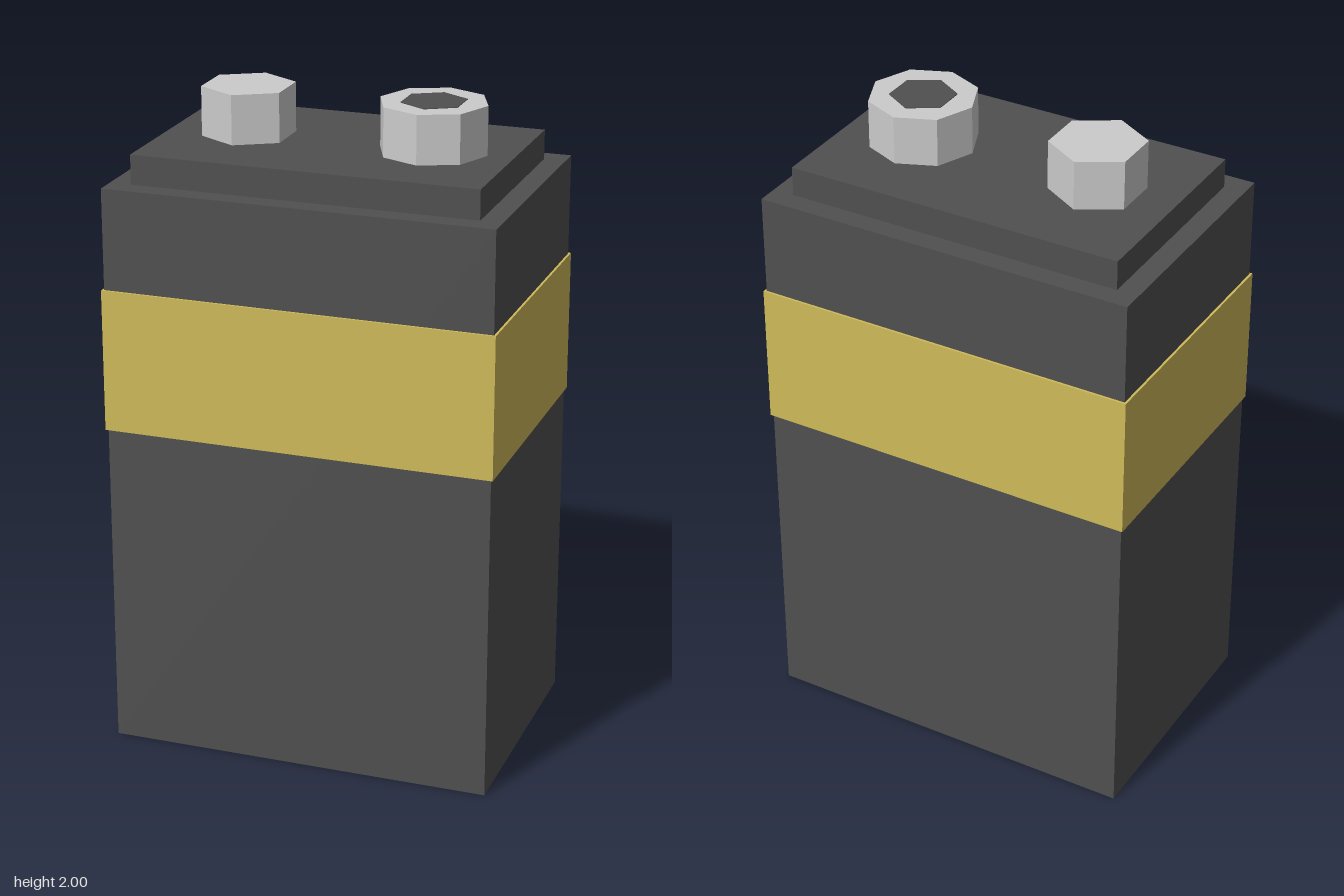
import * as THREE from 'three';

const material = (color) => new THREE.MeshStandardMaterial({ color, flatShading: true });

export function createModel() {
  const model = new THREE.Group();
  model.name = 'battery';
  const dark = material(0x505050);
  const gold = material(0xcfba59);
  const metal = material(0xcccccc);

  const add = (name, geometry, mat, x, bottom, height) => {
    const mesh = new THREE.Mesh(geometry, mat);
    mesh.name = name;
    mesh.position.set(x, bottom + height / 2, 0);
    model.add(mesh);
  };
  const block = (name, mat, width, depth, bottom, top) =>
    add(name, new THREE.BoxGeometry(width, top - bottom, depth), mat, 0, bottom, top - bottom);
  const prism = (name, mat, sides, radius, x, bottom, top) =>
    add(name, new THREE.CylinderGeometry(radius, radius, top - bottom, sides), mat, x, bottom, top - bottom);

  // Case, stepped lid and the wrap-around band
  block('case', dark, 1.186, 0.79, 0, 1.76);
  block('lid', dark, 1.054, 0.66, 1.76, 1.85);
  block('band', gold, 1.2, 0.804, 1.015, 1.452);

  // Hexagonal stud and octagonal socket with its dark hexagonal centre
  prism('studTerminal', metal, 6, 0.141, -0.287, 1.85, 2);
  prism('socketTerminal', metal, 8, 0.163, 0.285, 1.85, 1.998);
  prism('socketCentre', dark, 6, 0.099, 0.285, 1.95, 2);

  return model;
}
